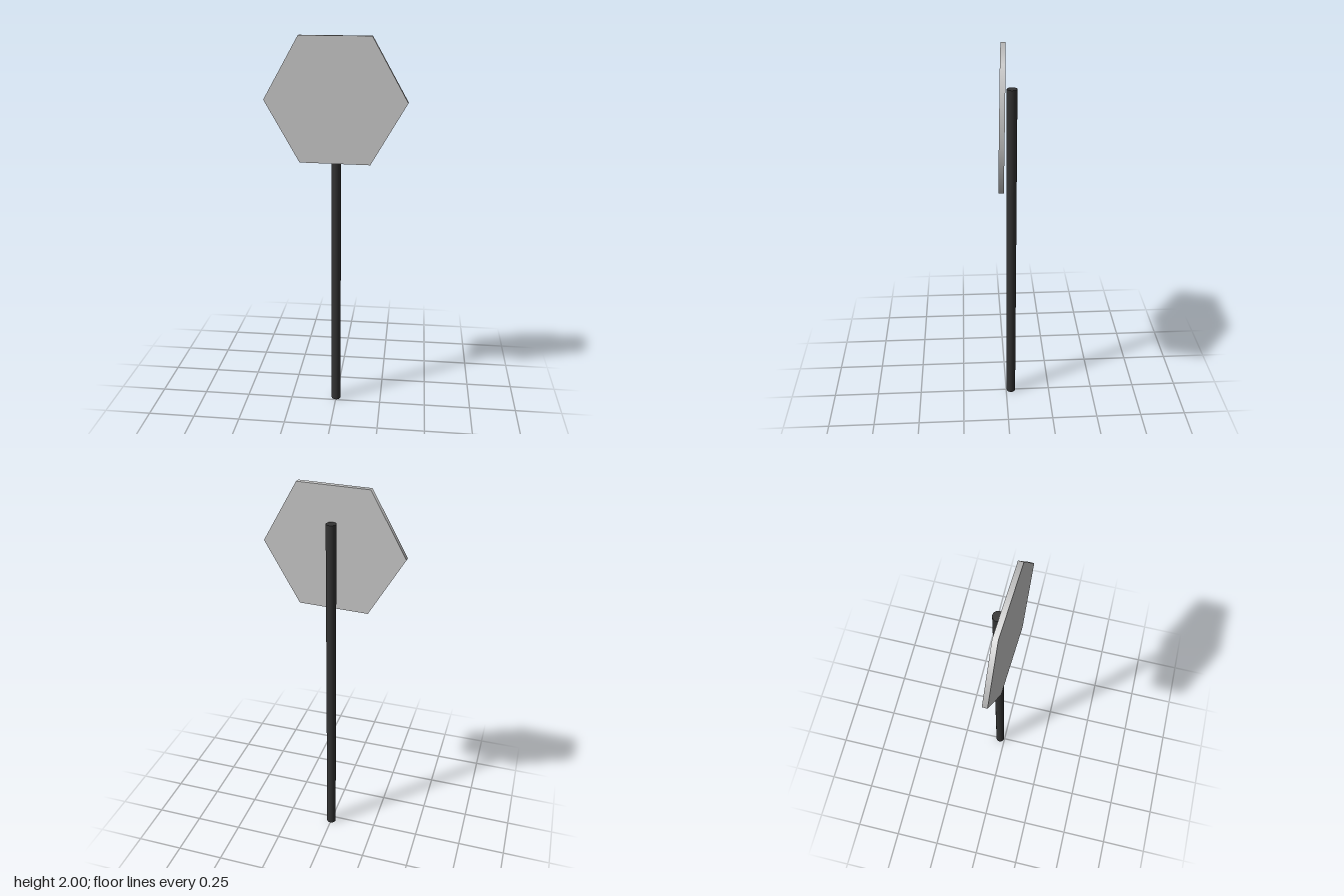
import * as THREE from 'three';

export function createModel() {
  const model = new THREE.Group();

  // Round upright post standing behind the panel
  const postHeight = 1.83;
  const post = new THREE.Mesh(
    new THREE.CylinderGeometry(0.025, 0.025, postHeight, 32),
    new THREE.MeshStandardMaterial({ color: 0x333333 })
  );
  post.name = 'post';
  post.position.set(0, postHeight / 2, -0.028);
  model.add(post);

  // Six-sided panel with corners to left and right, slightly turned and tipped
  const panelGeometry = new THREE.CylinderGeometry(0.358, 0.358, 0.025, 6, 1, false, Math.PI / 2);
  panelGeometry.rotateX(Math.PI / 2);
  const panel = new THREE.Mesh(
    panelGeometry,
    new THREE.MeshStandardMaterial({ color: 0xcccccc })
  );
  panel.name = 'signPanel';
  panel.position.set(0, 1.69, 0.019);
  panel.rotation.set(-0.0145, -0.053, 0);
  model.add(panel);

  return model;
}
